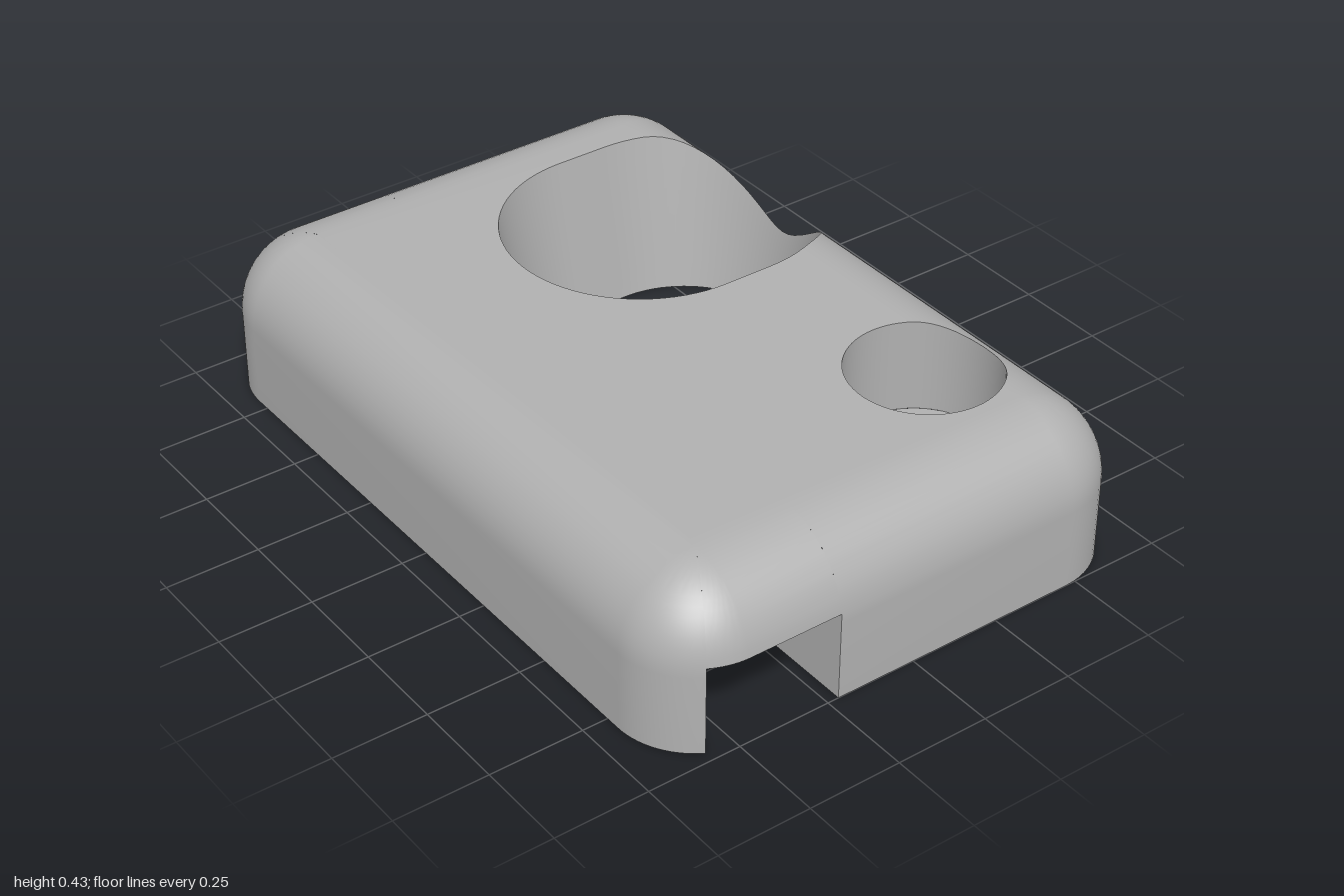
import * as THREE from 'three';
import { mergeGeometries, toCreasedNormals } from 'three/addons/utils/BufferGeometryUtils.js';

const R = 0.21;                        // corner and top edge radius
const CX = 0.79, CZ = 0.472;           // corner centres
const TOP = 0.425, SHOULDER = TOP - R; // height, and where the edge rounding starts
const SLOT = { back: 0.22, front: 0.575, top: 0.24 };
const SLOT_ANGLE = Math.asin((SLOT.front - CZ) / R);
const PI = Math.PI;
const ARC = 14;

const range = (n, a, b) => Array.from({ length: n + 1 }, (_, i) => a + (b - a) * i / n);

// Height of the top over the flat and the back rounding
function surfaceY(z) {
  const d = Math.max(0, -CZ - z);
  return SHOULDER + Math.sqrt(Math.max(0, R * R - d * d));
}

// Surface through a grid of points; it faces (row direction) x (column direction)
function patch(columns) {
  const p = [];
  const tri = (a, b, c) => {
    const n = b.clone().sub(a).cross(c.clone().sub(a));
    if (n.lengthSq() > 1e-14) for (const v of [a, b, c]) p.push(v.x, v.y, v.z);
  };
  for (let i = 0; i < columns.length - 1; i++) {
    const s = columns[i], t = columns[i + 1];
    for (let j = 0; j < s.length - 1; j++) {
      tri(s[j], s[j + 1], t[j]);
      tri(t[j], s[j + 1], t[j + 1]);
    }
  }
  const g = new THREE.BufferGeometry();
  g.setAttribute('position', new THREE.Float32BufferAttribute(p, 3));
  return g;
}

const V = (x, y, z) => new THREE.Vector3(x, y, z);

// Flat face looking down, drawn in x and z
function downFace(shape, y) {
  const g = new THREE.ShapeGeometry(shape, 32).rotateX(PI / 2).translate(0, y, 0).toNonIndexed();
  g.deleteAttribute('uv');
  g.deleteAttribute('normal');
  return g;
}

// Rounded rim and wall along part of the outline, starting at height y0
function shell(outline, y0) {
  const phi0 = Math.asin(Math.max(0, y0 - SHOULDER) / R);
  return patch(outline.map(([cx, cz, a]) => {
    const at = (r, y) => V(cx + r * Math.cos(a), y, cz + r * Math.sin(a));
    const col = range(ARC, phi0, PI / 2).map(f => at(R * Math.cos(f), SHOULDER + R * Math.sin(f)));
    if (y0 < SHOULDER) col.unshift(at(R, y0));
    return col;
  }));
}
const corner = (sx, sz, a0, a1) => range(ARC, a0, a1).map(a => [sx * CX, sz * CZ, a]);

// Columns [x, zStart, zEnd] of the top surface
const rowsZ = [...range(ARC, 0, PI / 2).map(f => -CZ - R * Math.cos(f)), CZ];
const topSheet = cols => patch(cols.map(([x, za, zb]) => rowsZ.map(zr => {
  const z = Math.min(zb, Math.max(za, zr));
  return V(x, surfaceY(z), z);
})));

// Hole with rounded ends, centres zB and zF, widening from r0 at the bottom to r1 at the top
function makeHole({ x, zB, zF, r0, r1, floor }) {
  const point = ([a, cz], y) => {
    const r = r0 + (r1 - r0) * y / TOP;
    return V(x + r * Math.cos(a), y, cz + r * Math.sin(a));
  };
  const rim = k => {
    let lo = 0, hi = TOP;
    for (let i = 0; i < 40; i++) {
      const y = (lo + hi) / 2;
      if (y < surfaceY(point(k, y).z)) lo = y; else hi = y;
    }
    return point(k, hi);
  };
  const back = range(40, PI, 2 * PI).map(a => [a, zB]);
  const front = range(40, PI, 0).map(a => [a, zF]);
  const loop = [...back, ...front.slice().reverse(), back[0]].reverse();
  return [
    patch(loop.map(k => {
      const end = rim(k);
      return range(6, floor, end.y).map(y => point(k, y));
    })),
    topSheet(back.map(rim).map(p => [p.x, -CZ - R, p.z])),
    topSheet(front.map(rim).map(p => [p.x, p.z, CZ])),
  ];
}

export function createModel() {
  const grey = new THREE.MeshStandardMaterial({ color: 0xb0b0b0 });
  grey.name = 'grey';

  const big = { x: -0.3625, zB: -0.3625, zF: -0.2175, r0: 0.2725, r1: 0.36, floor: 0 };
  const bore = { x: 0.565, zB: -0.375, zF: -0.375, r0: 0.195, r1: 0.195, floor: 0.17 };
  const pin = 0.113;
  const parts = [];

  // Outer wall, interrupted by the slot on both sides
  parts.push(
    shell([...corner(1, -1, -PI / 2, 0), [CX, SLOT.back, 0]], 0),
    shell([[CX, SLOT.back, 0], ...corner(1, 1, 0, SLOT_ANGLE)], SLOT.top),
    shell([...corner(1, 1, SLOT_ANGLE, PI / 2), ...corner(-1, 1, PI / 2, PI - SLOT_ANGLE)], 0),
    shell([...corner(-1, 1, PI - SLOT_ANGLE, PI), [-CX, SLOT.back, PI]], SLOT.top),
    shell([[-CX, SLOT.back, PI], ...corner(-1, -1, PI, 1.5 * PI)], 0),
    patch([-CX, CX].map(x => [V(x, 0, -CZ - R), V(x, SHOULDER, -CZ - R)])),
  );

  // Top with both openings
  const spans = [[-CX, big.x - big.r1], [big.x + big.r1, bore.x - bore.r1], [bore.x + bore.r1, CX]];
  for (const span of spans) parts.push(topSheet(span.map(x => [x, -CZ - R, CZ])));
  parts.push(...makeHole(big), ...makeHole(bore));

  // Step and narrow lower part of the small hole
  const around = range(64, 2 * PI, 0);
  const onPin = (r, a, y) => V(bore.x + r * Math.cos(a), y, bore.zB + r * Math.sin(a));
  parts.push(
    patch(around.map(a => [onPin(pin, a, bore.floor), onPin(bore.r0, a, bore.floor)])),
    patch(around.map(a => [onPin(pin, a, 0), onPin(pin, a, bore.floor)])),
  );

  // Slot walls and ceiling
  const W = CX + R, slotX = CX + R * Math.cos(SLOT_ANGLE);
  parts.push(
    patch([W, -W].map(x => [V(x, 0, SLOT.back), V(x, SLOT.top, SLOT.back)])),
    patch([-slotX, slotX].map(x => [V(x, 0, SLOT.front), V(x, SLOT.top, SLOT.front)])),
  );
  const ceiling = new THREE.Shape();
  ceiling.moveTo(-W, SLOT.back).lineTo(W, SLOT.back);
  ceiling.absarc(CX, CZ, R, 0, SLOT_ANGLE, false);
  ceiling.absarc(-CX, CZ, R, PI - SLOT_ANGLE, PI, false);
  parts.push(downFace(ceiling, SLOT.top));

  // Underside: front lip and main base with holes
  const lip = new THREE.Shape();
  lip.absarc(CX, CZ, R, SLOT_ANGLE, PI / 2, false);
  lip.absarc(-CX, CZ, R, PI / 2, PI - SLOT_ANGLE, false);
  const base = new THREE.Shape();
  base.moveTo(W, SLOT.back).lineTo(-W, SLOT.back);
  base.absarc(-CX, -CZ, R, PI, 1.5 * PI, false);
  base.absarc(CX, -CZ, R, 1.5 * PI, 2 * PI, false);
  const bigHole = new THREE.Path();
  bigHole.absarc(big.x, big.zB, big.r0, PI, 2 * PI, false);
  bigHole.absarc(big.x, big.zF, big.r0, 0, PI, false);
  const pinHole = new THREE.Path().absarc(bore.x, bore.zB, pin, 0, 2 * PI, false);
  base.holes.push(bigHole, pinHole);
  parts.push(downFace(lip, 0), downFace(base, 0));

  const body = new THREE.Mesh(toCreasedNormals(mergeGeometries(parts), 0.6), grey);
  body.name = 'slottedBlock';
  const group = new THREE.Group();
  group.name = 'mountingBlock';
  group.add(body);
  return group;
}
